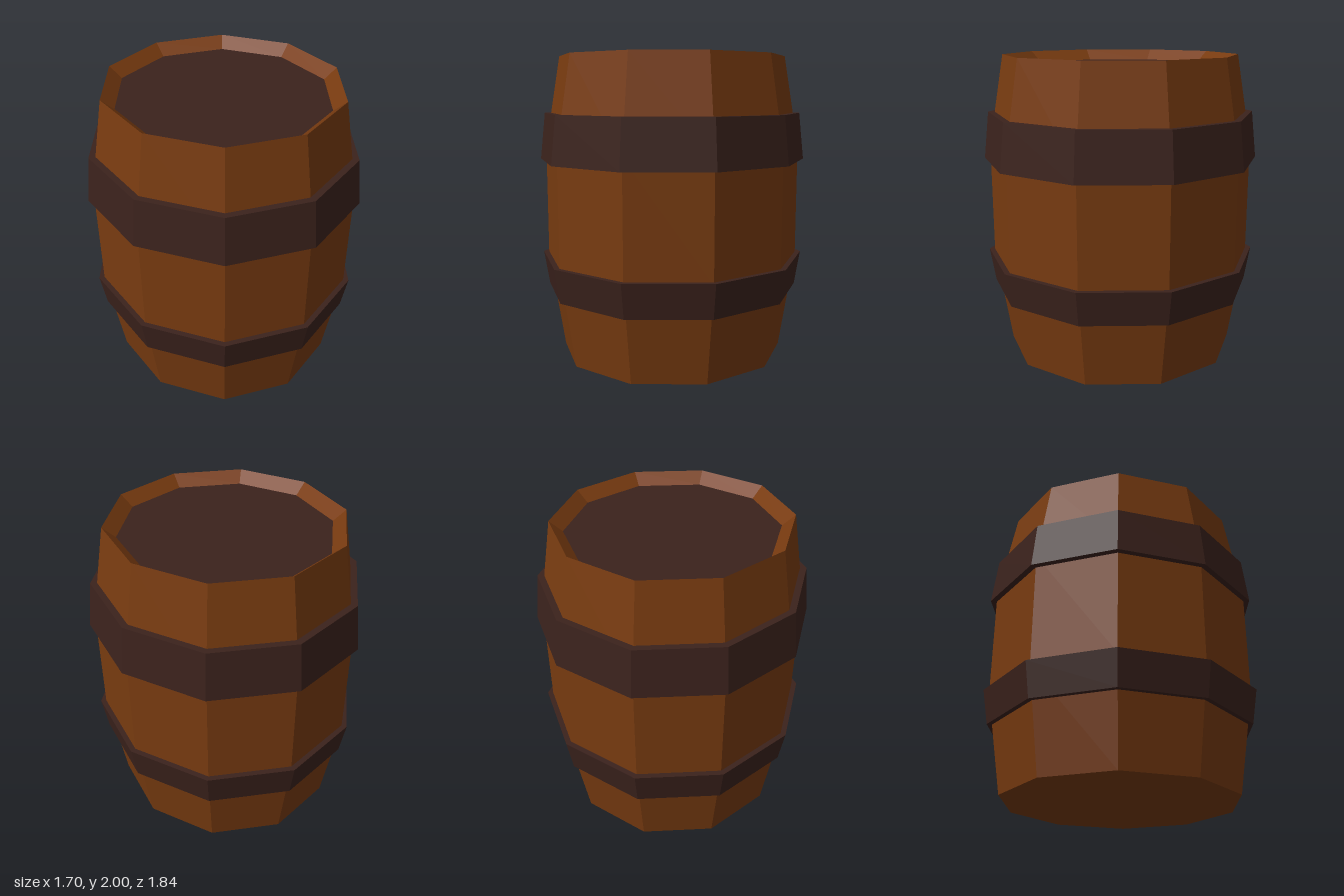
import * as THREE from 'three';

const SIDES = 10;
const X_SCALE = 0.973; // the barrel is slightly narrower across x

const wood = new THREE.MeshStandardMaterial({ color: 0x783b10, flatShading: true });
const dark = new THREE.MeshStandardMaterial({ color: 0x3b221c, flatShading: true });

// Ten-sided turned part from [radius, y] points, corners on the z axis
function turned(name, profile, material) {
  const points = profile.map(([r, y]) => new THREE.Vector2(r, y));
  const geometry = new THREE.LatheGeometry(points, SIDES).scale(X_SCALE, 1, 1);
  const mesh = new THREE.Mesh(geometry, material);
  mesh.name = name;
  return mesh;
}

// Sloped metal band whose flat rims run into the staves
function hoop(name, bottomY, bottomR, topY, topR) {
  const inner = 0.8;
  return turned(name, [
    [inner, bottomY], [bottomR, bottomY], [topR, topY], [inner, topY], [inner, bottomY],
  ], dark);
}

export function createModel() {
  const barrel = new THREE.Group();
  barrel.name = 'barrel';

  // Staves: flat base, bulging wall, sharp rim, inner wall down to the lid
  barrel.add(turned('staves', [
    [0, 0], [0.773, 0], [0.878, 0.65], [0.878, 1.4], [0.773, 2], [0.69, 1.93],
  ], wood));

  // Recessed lid
  barrel.add(turned('lid', [[0.69, 1.93], [0, 1.93]], dark));

  // Hoops
  barrel.add(hoop('lowerHoop', 0.44, 0.877, 0.667, 0.915));
  barrel.add(hoop('upperHoop', 1.315, 0.918, 1.625, 0.883));

  return barrel;
}
